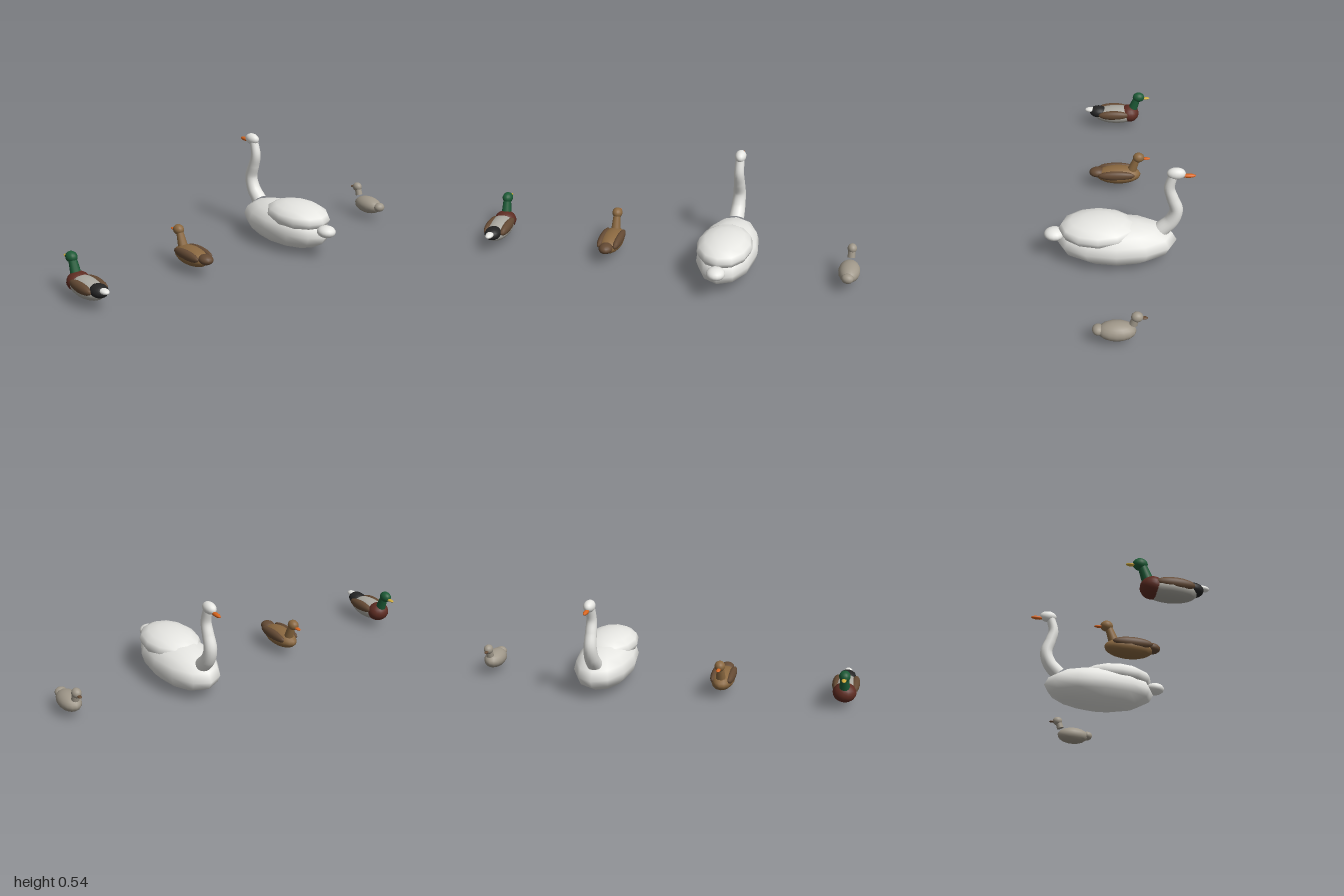
import * as THREE from 'three';

const mat = (name, color) => {
  const m = new THREE.MeshStandardMaterial({ color });
  m.name = name;
  return m;
};

export function createModel() {
  const white = mat('white', 0xeeeeea);
  const orange = mat('orange', 0xd9661f);
  const taupe = mat('taupe', 0xa0988a);
  const grey = mat('grey', 0xaaa8a0);
  const brown = mat('brown', 0x8a6840);
  const darkBrown = mat('dark brown', 0x644a34);
  const maroon = mat('maroon', 0x5e2c22);
  const green = mat('green', 0x1c5a36);
  const black = mat('black', 0x242424);
  const yellow = mat('yellow', 0xd0ac3c);

  const model = new THREE.Group();
  model.name = 'waterfowl';

  const bird = (name, x) => {
    const g = new THREE.Group();
    g.name = name;
    g.position.x = x;
    model.add(g);
    return g;
  };

  // Ellipsoid given by centre and radii
  const blob = (parent, name, material, centre, radii, w = 16, h = 12) => {
    const geo = new THREE.SphereGeometry(1, w, h);
    geo.scale(...radii);
    const mesh = new THREE.Mesh(geo, material);
    mesh.name = name;
    mesh.position.set(...centre);
    parent.add(mesh);
    return mesh;
  };

  // Straight tapered neck between two points given as [y, z]
  const neck = (parent, material, a, b, r0, r1) => {
    const p = new THREE.Vector3(0, ...a), q = new THREE.Vector3(0, ...b);
    const d = q.clone().sub(p);
    const mesh = new THREE.Mesh(new THREE.CylinderGeometry(r1, r0, d.length(), 12), material);
    mesh.name = 'neck';
    mesh.position.copy(p).add(q).multiplyScalar(0.5);
    mesh.quaternion.setFromUnitVectors(new THREE.Vector3(0, 1, 0), d.normalize());
    parent.add(mesh);
  };

  // Folded wings on both sides
  const wings = (parent, material, centre, radii) => {
    for (const s of [-1, 1]) {
      blob(parent, s > 0 ? 'leftWing' : 'rightWing', material, [s * centre[0], centre[1], centre[2]], radii);
    }
  };

  // Swan
  const swan = bird('swan', 0.317);
  blob(swan, 'body', white, [0, 0.115, 0.01], [0.155, 0.112, 0.3], 12, 8);
  blob(swan, 'foldedWings', white, [0, 0.187, 0.1], [0.142, 0.07, 0.198], 12, 8);
  blob(swan, 'tail', white, [0, 0.152, 0.32], [0.047, 0.031, 0.051]);
  blob(swan, 'head', white, [0, 0.514, -0.277], [0.029, 0.03, 0.046]);
  blob(swan, 'beak', orange, [0, 0.501, -0.336], [0.012, 0.01, 0.036]);

  // Curved swan neck: a tube narrowed towards the head
  const path = new THREE.CatmullRomCurve3(
    [[0.183, -0.214], [0.235, -0.262], [0.3, -0.283], [0.37, -0.262], [0.43, -0.246], [0.5, -0.262]]
      .map(([y, z]) => new THREE.Vector3(0, y, z)));
  const rings = 28, sides = 16;
  const tube = new THREE.TubeGeometry(path, rings, 1, sides);
  const pos = tube.attributes.position, v = new THREE.Vector3();
  for (let i = 0; i < pos.count; i++) {
    const t = Math.floor(i / (sides + 1)) / rings;
    const c = path.getPointAt(t);
    v.fromBufferAttribute(pos, i).sub(c).multiplyScalar(0.04 - 0.017 * t).add(c);
    pos.setXYZ(i, v.x, v.y, v.z);
  }
  const swanNeck = new THREE.Mesh(tube, white);
  swanNeck.name = 'neck';
  swan.add(swanNeck);

  // Drake
  const drake = bird('drake', -0.932);
  blob(drake, 'body', grey, [0, 0.082, 0.01], [0.064, 0.05, 0.13]);
  blob(drake, 'chest', maroon, [0, 0.088, -0.066], [0.059, 0.049, 0.056]);
  blob(drake, 'rump', black, [0, 0.1, 0.115], [0.043, 0.033, 0.052]);
  blob(drake, 'tail', white, [0, 0.112, 0.16], [0.021, 0.014, 0.034]);
  wings(drake, darkBrown, [0.046, 0.098, 0.025], [0.023, 0.028, 0.09]);
  neck(drake, green, [0.115, -0.085], [0.195, -0.113], 0.027, 0.02);
  blob(drake, 'head', green, [0, 0.196, -0.12], [0.028, 0.028, 0.034]);
  blob(drake, 'beak', yellow, [0, 0.189, -0.16], [0.012, 0.006, 0.025]);

  // Hen
  const hen = bird('hen', -0.308);
  blob(hen, 'body', brown, [0, 0.08, 0], [0.06, 0.048, 0.122]);
  blob(hen, 'tail', darkBrown, [0, 0.094, 0.115], [0.036, 0.026, 0.043]);
  wings(hen, darkBrown, [0.043, 0.096, 0.01], [0.021, 0.027, 0.1]);
  neck(hen, brown, [0.11, -0.075], [0.18, -0.1], 0.025, 0.018);
  blob(hen, 'head', brown, [0, 0.188, -0.11], [0.027, 0.027, 0.031]);
  blob(hen, 'beak', orange, [0, 0.181, -0.15], [0.011, 0.006, 0.023]);

  // Cygnet
  const cygnet = bird('cygnet', 0.941);
  blob(cygnet, 'body', taupe, [0, 0.076, 0.009], [0.055, 0.046, 0.09]);
  blob(cygnet, 'tail', taupe, [0, 0.082, 0.095], [0.031, 0.025, 0.028]);
  neck(cygnet, taupe, [0.115, -0.066], [0.152, -0.077], 0.02, 0.018);
  blob(cygnet, 'head', taupe, [0, 0.158, -0.083], [0.024, 0.025, 0.028]);
  blob(cygnet, 'beak', darkBrown, [0, 0.152, -0.115], [0.01, 0.006, 0.017]);

  return model;
}
